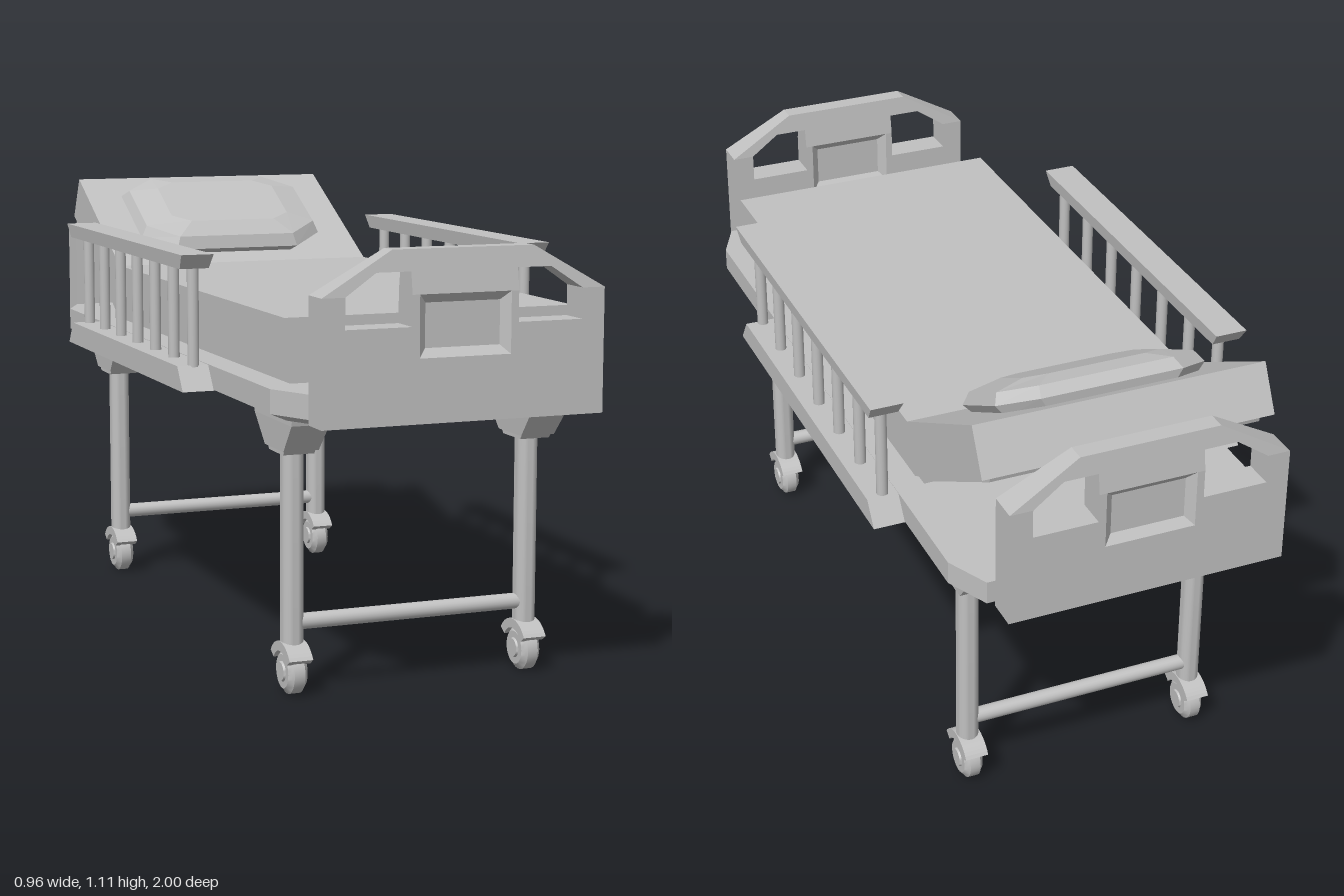
import * as THREE from 'three';
import { toCreasedNormals } from 'three/addons/utils/BufferGeometryUtils.js';

const grey = new THREE.MeshStandardMaterial({ color: 0xc0c0c0 });
grey.name = 'light grey';

function add(parent, name, geometry, x = 0, y = 0, z = 0) {
  const mesh = new THREE.Mesh(geometry, grey);
  mesh.name = name;
  mesh.position.set(x, y, z);
  parent.add(mesh);
  return mesh;
}

// Rectangle at height y, with optional cut corners, counter-clockwise from above
function ring(y, hx, hz, cx = 0, cz = 0) {
  const p = cx === 0
    ? [[hx, hz], [hx, -hz], [-hx, -hz], [-hx, hz]]
    : [[hx, hz - cz], [hx, cz - hz], [hx - cx, -hz], [cx - hx, -hz],
      [-hx, cz - hz], [-hx, hz - cz], [cx - hx, hz], [hx - cx, hz]];
  return p.map(([x, z]) => [x, y, z]);
}

// Flat-shaded solid through a stack of rings
function loft(rings, topCap = true) {
  const v = [];
  const n = rings[0].length;
  for (let r = 0; r < rings.length - 1; r++) {
    const a = rings[r], b = rings[r + 1];
    for (let i = 0; i < n; i++) {
      const j = (i + 1) % n;
      v.push(...a[i], ...a[j], ...b[j], ...a[i], ...b[j], ...b[i]);
    }
  }
  const low = rings[0], high = rings[rings.length - 1];
  for (let i = 1; i < n - 1; i++) {
    v.push(...low[0], ...low[i + 1], ...low[i]);
    if (topCap) v.push(...high[0], ...high[i], ...high[i + 1]);
  }
  const g = new THREE.BufferGeometry();
  g.setAttribute('position', new THREE.Float32BufferAttribute(v, 3));
  g.computeVertexNormals();
  return g;
}

// Extrusion centred on z = 0
function plate(points, depth) {
  const shape = new THREE.Shape(points.map(([x, y]) => new THREE.Vector2(x, y)));
  return new THREE.ExtrudeGeometry(shape, { depth, bevelEnabled: false }).translate(0, 0, -depth / 2);
}

// End board: lower slab and tapered crest, notched for hand holes and a sunken panel
function endBoard(name, z) {
  const board = new THREE.Group();
  board.name = name;
  board.position.set(-0.01, 0, z);
  const t = 0.075, yc = 0.955;
  const lower = [[-0.34, 0.67], [0.34, 0.67], [0.34, yc], [0.285, yc], [0.285, 0.885], [0.128, 0.885],
    [0.128, yc], [0.11, yc], [0.11, 0.815], [-0.11, 0.815], [-0.11, yc], [-0.128, yc],
    [-0.128, 0.885], [-0.285, 0.885], [-0.285, yc], [-0.34, yc]];
  add(board, 'boardLower', plate(lower, t));
  const upper = [[-0.34, yc], [-0.285, yc], [-0.21, 1.005], [-0.128, 1.005], [-0.128, yc],
    [0.128, yc], [0.128, 1.005], [0.21, 1.005], [0.285, yc], [0.34, yc], [0.17, 1.053], [-0.17, 1.053]];
  const crest = plate(upper, t);
  const p = crest.attributes.position;
  for (let i = 0; i < p.count; i++) {
    p.setZ(i, p.getZ(i) * (1 - 0.4 * (p.getY(i) - yc) / (1.053 - yc)));
  }
  crest.computeVertexNormals();
  add(board, 'boardCrest', crest);
  for (const side of [1, -1]) {
    const rings = [ring(0.02, 0.09, 0.05), ring(t / 2, 0.11, 0.07)].map((r) => r.reverse());
    const pocket = loft(rings, false).rotateX(side * Math.PI / 2);
    add(board, 'sunkenPanel', pocket, 0, 0.885, 0);
  }
  return board;
}

// Side rail with posts
function sideRail(name, side) {
  const rail = new THREE.Group();
  rail.name = name;
  add(rail, 'railBase', loft([ring(0.68, 0.05, 0.495), ring(0.737, 0.05, 0.455)]), side * 0.427, 0, -0.058);
  add(rail, 'handRail', loft([ring(0.968, 0.036, 0.47), ring(1.003, 0.04, 0.495)]), side * 0.438, 0, -0.058);
  for (let i = 0; i < 7; i++) {
    const post = new THREE.CylinderGeometry(0.014, 0.014, 0.24, 16, 1, true);
    add(rail, 'railPost', post, side * 0.434, 0.853, 0.388 - i * 0.1475);
  }
  return rail;
}

// Leg with mounting bracket and caster
function leg(x, z) {
  const g = new THREE.Group();
  g.name = 'leg';
  g.position.set(x, 0, z);
  add(g, 'bracket', loft([ring(0.58, 0.043, 0.06), ring(0.648, 0.046, 0.12), ring(0.67, 0.046, 0.125)]));
  add(g, 'bracketCollar', loft([ring(0.57, 0.038, 0.045), ring(0.582, 0.038, 0.055)]));
  add(g, 'legTube', toCreasedNormals(new THREE.CylinderGeometry(0.027, 0.027, 0.47, 24), 0.7), 0, 0.345, 0);
  // Wheel with rounded tread and raised hub
  const half = [[0, 0.029], [0.022, 0.029], [0.024, 0.024], [0.04, 0.024], [0.049, 0.016], [0.054, 0.013]];
  const profile = [...half.map(([r, h]) => [r, -h]), ...half.reverse()];
  const wheel = new THREE.LatheGeometry(profile.map(([r, h]) => new THREE.Vector2(r, h)), 28);
  add(g, 'casterWheel', toCreasedNormals(wheel.rotateZ(Math.PI / 2), 0.5), 0, 0.054, 0);
  // Arched cover above the wheel
  const arc = new THREE.Shape();
  arc.absarc(0, 0, 0.075, 0.58, Math.PI - 0.58, false);
  arc.absarc(0, 0, 0.052, Math.PI - 0.58, 0.58, true);
  const cover = new THREE.ExtrudeGeometry(arc, { depth: 0.058, bevelEnabled: false, curveSegments: 8 });
  add(g, 'casterCover', cover.translate(0, 0, -0.029).rotateY(Math.PI / 2), 0, 0.05, 0);
  return g;
}

export function createModel() {
  const bed = new THREE.Group();
  bed.name = 'hospitalBed';

  // Bed deck with cut corners and bevelled underside
  add(bed, 'deck', loft([
    ring(0.66, 0.35, 0.89, 0.05, 0.1),
    ring(0.682, 0.4, 0.925, 0.05, 0.105),
    ring(0.738, 0.4, 0.925, 0.05, 0.105),
  ]));
  bed.add(endBoard('footBoard', 0.9625), endBoard('headBoard', -0.9625));
  bed.add(sideRail('leftRail', 1), sideRail('rightRail', -1));

  // Flat mattress and its support panel
  add(bed, 'mattressSupport', new THREE.BoxGeometry(0.66, 0.04, 1.26), 0, 0.755, 0.13);
  const slab = (points, width) => plate(points, width).rotateY(-Math.PI / 2);
  add(bed, 'mattress', slab([[0.8, 0.77], [0.8, 0.892], [-0.46, 0.892], [-0.508, 0.77]], 0.714), -0.002);

  // Raised backrest, support panel and pillow
  add(bed, 'backrest', slab([[-0.508, 0.77], [-0.46, 0.892], [-0.85, 1.103], [-0.907, 0.995]], 0.714), -0.002);
  add(bed, 'backrestSupport', slab([[-0.5, 0.745], [-0.508, 0.775], [-0.895, 0.998], [-0.89, 0.975]], 0.66));
  const pillow = loft([
    ring(-0.01, 0.235, 0.155, 0.08, 0.06),
    ring(0.02, 0.26, 0.172, 0.085, 0.065),
    ring(0.048, 0.245, 0.15, 0.08, 0.06),
    ring(0.066, 0.17, 0.1, 0.05, 0.03),
  ]);
  const head = add(bed, 'pillow', pillow, -0.01, 0.992, -0.647);
  head.rotation.x = Math.atan2(0.211, 0.39);

  // Legs and cross bars
  for (const z of [0.685, -0.685]) {
    for (const x of [0.298, -0.298]) bed.add(leg(x, z));
    const bar = new THREE.CylinderGeometry(0.019, 0.019, 0.57, 20, 1, true).rotateZ(Math.PI / 2);
    add(bed, 'crossBar', bar, 0, 0.169, z);
  }
  return bed;
}
